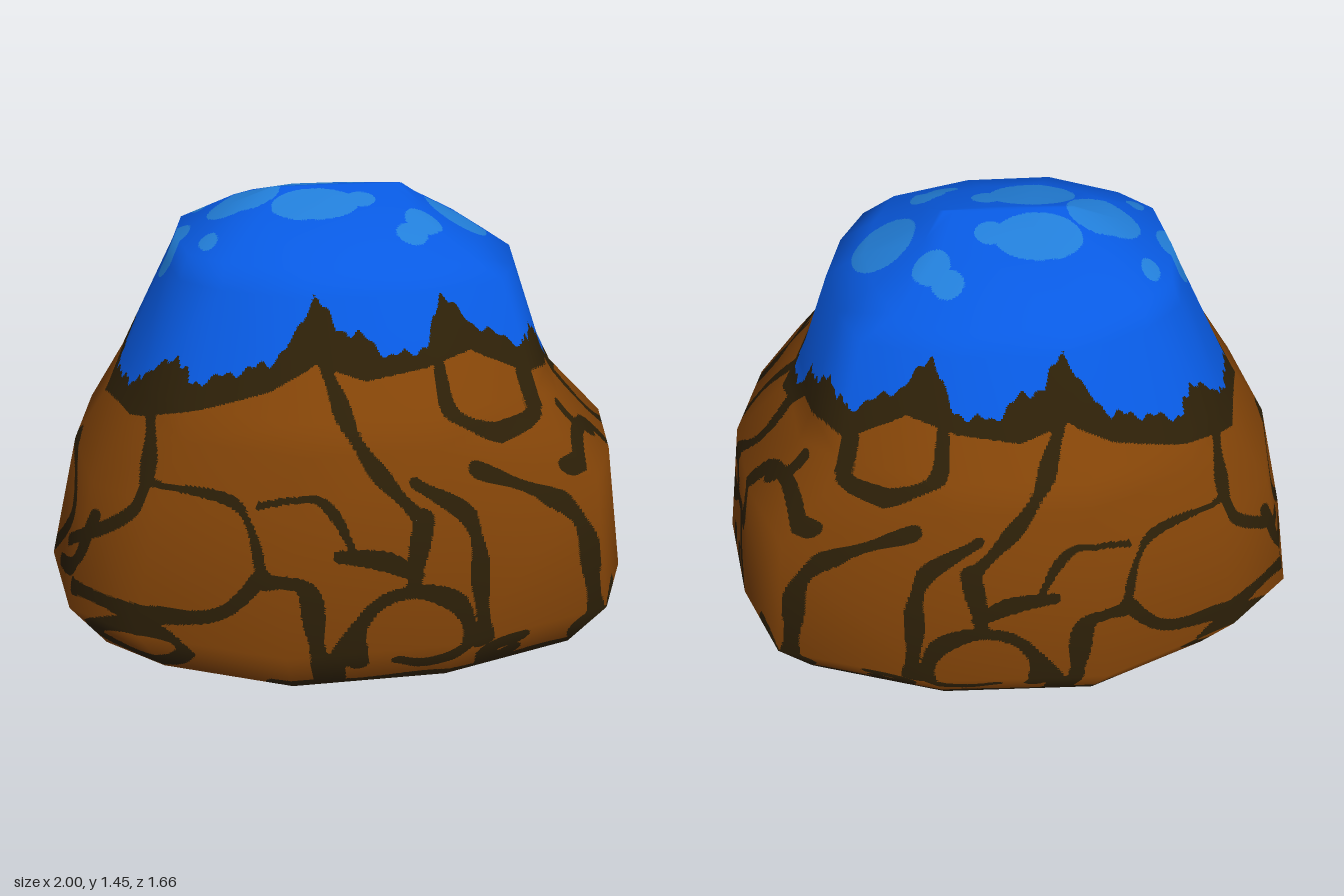
import * as THREE from 'three';

// Half plan outline at the widest level, mirrored in z
const HALF = [[1, 0], [0.93, 0.36], [0.8, 0.65], [0.29, 0.82], [-0.275, 0.83], [-0.73, 0.615], [-0.94, 0.41], [-1, 0]];
const OUTLINE = [...HALF, ...HALF.slice(1, -1).reverse().map(([x, z]) => [x, -z])];
// Rings: height, x scale, x offset, z scale
const RINGS = [[0, 0.88, 0, 0.86], [0.17, 1, 0, 1], [0.6, 0.92, 0.02, 0.935], [0.8, 0.76, -0.01, 0.89],
  [0.9, 0.71, -0.01, 0.855], [1.22, 0.58, 0.01, 0.6], [1.3, 0.5, -0.035, 0.555],
  [1.4, 0.32, -0.03, 0.28], [1.45, 0.215, 0, 0.015]];
const SQUARENESS = 2.5;
const ROUND = 0.85;  // length of one radian round the rock

const lerpAt = (list, t, k) => {
  let i = 1;
  while (i < list.length - 1 && list[i][0] < t) i++;
  const a = list[i - 1], b = list[i];
  const f = THREE.MathUtils.clamp((t - a[0]) / (b[0] - a[0] || 1), 0, 1);
  return a[k] + (b[k] - a[k]) * f;
};
const halfX = y => lerpAt(RINGS, y, 1);
const offX = y => lerpAt(RINGS, y, 2);
const halfZ = y => 0.83 * lerpAt(RINGS, y, 3);

// Paint chart: angle round the rock (mirrored in z) and height
const other = s => Math.pow(Math.max(0, 1 - Math.pow(Math.min(1, Math.abs(s)), SQUARENESS)), 1 / SQUARENESS);
const fromFront = ([x, y]) => { const s = (x - offX(y)) / halfX(y); return [Math.atan2(other(s), s), y]; };
const fromSide = sign => ([z, y]) => { const s = z / halfZ(y); return [Math.atan2(s, sign * other(s)), y]; };

// Lower edges of the cap and of the dark band beneath it
const edge = (side, front, end) =>
  [...side.map(fromSide(1)), ...front.map(fromFront), [Math.PI, end]].sort((a, b) => a[0] - b[0]);
const capEdge = edge([[0, 0.85], [0.12, 0.87], [0.16, 0.97], [0.27, 0.98], [0.3, 1.04]],
  [[0.5, 1.04], [0.36, 1.12], [0.26, 1.22], [0.2, 1.08], [0.08, 1.06], [0, 1.12], [-0.08, 1.14], [-0.14, 1.24],
    [-0.2, 1.13], [-0.28, 1.05], [-0.54, 0.96], [-0.57, 1.02], [-0.71, 0.88]], 0.85);
const bandEdge = edge([[0, 0.78], [0.13, 0.8], [0.2, 0.88], [0.35, 0.91]],
  [[0.5, 0.97], [0.35, 1.05], [0, 1], [-0.15, 1.05], [-0.3, 0.97], [-0.68, 0.83]], 0.77);

// Cracks: each a curve through three points
const FRONT = [
  [-0.12, 1.04, -0.02, 0.8, 0.16, 0.58], [0.16, 0.6, 0.15, 0.5, 0.13, 0.38], [0.14, 0.7, 0.32, 0.55, 0.36, 0.16],
  [-0.1, 0.49, 0.02, 0.47, 0.14, 0.41], [-0.34, 0.42, -0.55, 0.26, -0.92, 0.24], [-0.34, 0.4, -0.2, 0.38, -0.14, 0.02],
  [-0.66, 0.84, -0.73, 0.58, -0.95, 0.32], [0.23, 1.04, 0.26, 0.9, 0.42, 0.81], [0.42, 0.81, 0.53, 0.84, 0.5, 0.97],
  [0.86, 0.18, 0.72, 0.13, 0.69, 0], [-0.05, 0.26, -0.12, 0.14, -0.09, 0], [-0.3, 0, 0.3, 0, 0.88, 0.01]];
const THIN = [[-0.35, 0.64, -0.16, 0.67, -0.05, 0.48], [-0.68, 0.66, -0.42, 0.63, -0.34, 0.4]];
const WEDGE = [[0.39, 0.03, 0.41, 0.1, 0.5, 0.12], [0.39, 0.03, 0.44, 0.04, 0.48, 0.06]];
const RIGHT = [
  [0.1, 0.8, 0.14, 0.66, 0, 0.49], [0.05, 0.51, 0.1, 0.4, 0, 0.33], [0, 0.4, 0.1, 0.4, 0.2, 0.4],
  [0.6, 0.67, 0.34, 0.7, 0.28, 0.5], [0.4, 0.78, 0.4, 0.73, 0.36, 0.68], [0.28, 0.52, 0.27, 0.45, 0.24, 0.38],
  [0.2, 0.38, 0.26, 0.24, 0.44, 0], [0.11, 0, 0.11, 0.12, 0.09, 0.22], [0.27, 0, 0.24, 0.1, 0.2, 0.22],
  [0.72, 0.72, 0.635, 0.5, 0.62, 0.12]];
const LEFT = [[0, 0.62, 0.2, 0.42, 0, 0.2], [0.42, 0.5, 0.35, 0.3, 0.15, 0.22]];
// Curled cracks: centre, radii, start, sweep, inward curl
const CURLS = [[0.15, 0.2, 0.22, 0.19, -2.6, -5.8, 0.45], [-0.74, 0.11, 0.13, 0.085, 0, 6.3, 0]];

const trios = list => list.map(c => [0, 2, 4].map(i => c.slice(i, i + 2)));
const curls = CURLS.map(([x, y, rx, ry, start, sweep, curl]) => Array.from({ length: 9 }, (_, i) => {
  const t = i / 8, a = start + sweep * t, k = 1 - curl * t;
  return [x + rx * k * Math.cos(a), Math.max(0, y + ry * k * Math.sin(a))];
}));
const makeCracks = (lines, map, width) => lines.map(line => {
  const path = line.map(map).map(p => new THREE.Vector2(p[0] * ROUND, p[1]));
  const points = new THREE.SplineCurve(path).getPoints(28);
  return { width, points, box: new THREE.Box2().setFromPoints(points).expandByScalar(width) };
});
const cracks = [
  ...makeCracks([...trios(FRONT), ...curls], fromFront, 0.052),
  ...makeCracks(trios(THIN), fromFront, 0.028),
  ...makeCracks(trios(WEDGE), fromFront, 0.08),
  ...makeCracks(trios(RIGHT), fromSide(1), 0.052),
  ...makeCracks(trios(LEFT), fromSide(-1), 0.052)];

const probe = new THREE.Vector2();
function onCrack(x, y) {
  probe.set(x, y);
  return cracks.some(({ width, points, box }) => {
    if (!box.containsPoint(probe)) return false;
    const half = width * (0.5 + 0.12 * Math.sin(x * 17 + y * 23));
    for (let i = 1; i < points.length; i++) {
      const a = points[i - 1], b = points[i], dx = b.x - a.x, dy = b.y - a.y;
      const t = THREE.MathUtils.clamp(((x - a.x) * dx + (y - a.y) * dy) / (dx * dx + dy * dy + 1e-9), 0, 1);
      if (Math.hypot(x - a.x - dx * t, y - a.y - dy * t) < half) return true;
    }
    return false;
  });
}

// Pale patches on the cap: x, |z|, radius x, radius z
const PATCHES = [[-0.54, 0, 0.055, 0.08], [-0.31, 0, 0.12, 0.11], [-0.09, 0.13, 0.14, 0.105], [0.06, 0.11, 0.05, 0.05],
  [-0.44, 0.2, 0.03, 0.045], [0.2, 0.29, 0.05, 0.05], [0.25, 0.22, 0.06, 0.065], [0.4, 0, 0.105, 0.13]];
const ROCK = 0, CRACK = 1, CAP = 2, PATCH = 3;

function paint({ x, y, z }) {
  const az = Math.abs(z);
  if (y > 1.1 && PATCHES.some(([px, pz, rx, rz]) => Math.hypot((x - px) / rx, (az - pz) / rz) < 1)) return PATCH;
  if (y > 1.27) return CAP;
  const u = Math.atan2(az / halfZ(y), (x - offX(y)) / halfX(y));
  const ragged = 0.008 * Math.sin(u * 37) + 0.007 * Math.sin(u * 83 + 1);
  if (y > lerpAt(capEdge, u, 1) + ragged) return CAP;
  if (y > lerpAt(bandEdge, u, 1)) return CRACK;
  return onCrack(u * ROUND, y) ? CRACK : ROCK;
}

export function createModel() {
  // Coarse boulder shell from stacked rings, closed on top and open below
  const n = OUTLINE.length, pos = [], index = [];
  for (const [y, sx, ox, sz] of RINGS) for (const [x, z] of OUTLINE) pos.push(x * sx + ox, y, z * sz);
  pos.push(0, 1.452, 0);
  for (let r = 0; r < RINGS.length; r++) for (let i = 0; i < n; i++) {
    const a = r * n + i, b = r * n + (i + 1) % n;
    if (r === RINGS.length - 1) index.push(a, RINGS.length * n, b);
    else if ((i + r) % 2) index.push(a, a + n, b, b, a + n, b + n);
    else index.push(a, a + n, b + n, a, b + n, b);
  }
  const shell = new THREE.BufferGeometry();
  shell.setAttribute('position', new THREE.Float32BufferAttribute(pos, 3));
  shell.setIndex(index);
  shell.computeVertexNormals();

  // Split faces finely along the paint edges and sort them by colour
  const parts = [ROCK, CRACK, CAP, PATCH].map(() => ({ pos: [], nor: [] }));
  const vertex = (p, nrm) => ({ p, n: nrm, c: paint(p) });
  const middle = (a, b) => vertex(a.p.clone().lerp(b.p, 0.5), a.n.clone().lerp(b.n, 0.5));
  function split(a, b, c) {
    const size = Math.max(a.p.distanceTo(b.p), b.p.distanceTo(c.p), c.p.distanceTo(a.p));
    const core = paint(a.p.clone().add(b.p).add(c.p).divideScalar(3));
    if (size > 0.015) {
      const ab = middle(a, b), bc = middle(b, c), ca = middle(c, a);
      if (size > 0.06 || [a, b, c, ab, bc, ca].some(v => v.c !== core)) {
        split(a, ab, ca);
        split(ab, b, bc);
        split(ca, bc, c);
        split(ab, bc, ca);
        return;
      }
    }
    for (const v of [a, b, c]) {
      parts[core].pos.push(v.p.x, v.p.y, v.p.z);
      parts[core].nor.push(v.n.x, v.n.y, v.n.z);
    }
  }
  const { position, normal } = shell.attributes;
  const corner = i => vertex(new THREE.Vector3().fromBufferAttribute(position, i),
    new THREE.Vector3().fromBufferAttribute(normal, i));
  for (let i = 0; i < index.length; i += 3) split(corner(index[i]), corner(index[i + 1]), corner(index[i + 2]));

  const group = new THREE.Group();
  group.name = 'boulder';
  [['rockFace', 'brown rock', 0x854508], ['cracks', 'dark crack', 0x2d2008],
    ['blueCap', 'blue', 0x085ae2], ['capPatches', 'pale blue', 0x227fda]].forEach(([name, colour, hex], k) => {
    const geo = new THREE.BufferGeometry();
    geo.setAttribute('position', new THREE.Float32BufferAttribute(parts[k].pos, 3));
    geo.setAttribute('normal', new THREE.Float32BufferAttribute(parts[k].nor, 3));
    geo.normalizeNormals();
    const material = new THREE.MeshStandardMaterial({ color: hex, side: THREE.DoubleSide });
    material.name = colour;
    const mesh = new THREE.Mesh(geo, material);
    mesh.name = name;
    group.add(mesh);
  });
  return group;
}
